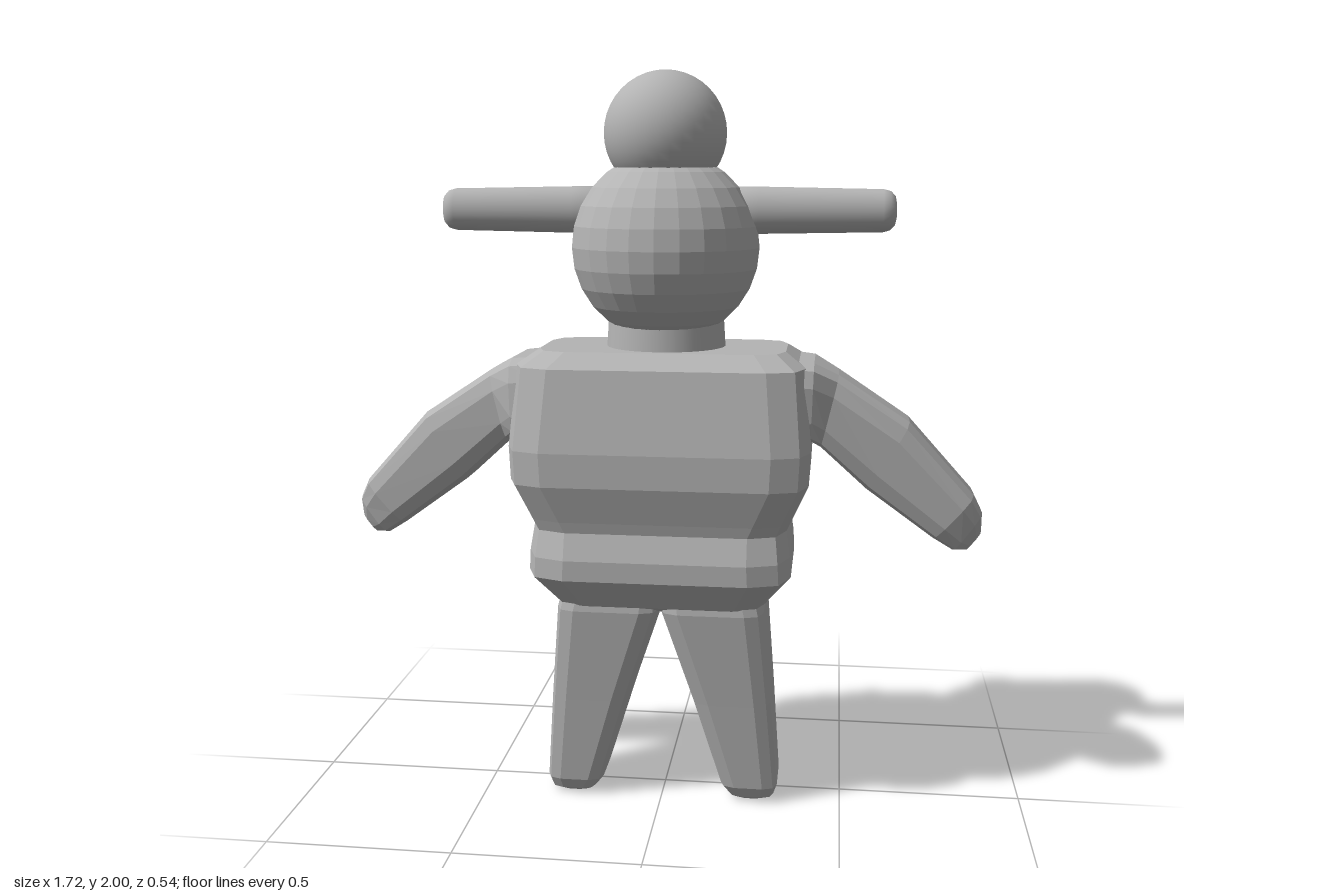
import * as THREE from 'three';
import { RoundedBoxGeometry } from 'three/addons/geometries/RoundedBoxGeometry.js';

// Rectangle with rounded corners, counter-clockwise, as [u, v] pairs
function section(cu, cv, hu, hv, c) {
  const corner = [[0, c], [0.27 * c, 0.27 * c], [c, 0]];
  const pts = [];
  for (const [su, sv] of [[1, 1], [-1, 1], [-1, -1], [1, -1]]) {
    const list = su * sv > 0 ? corner : [...corner].reverse();
    for (const [du, dv] of list) pts.push([cu + su * (hu - du), cv + sv * (hv - dv)]);
  }
  return pts;
}

// Faceted skin through rings of points, closed at both ends; side -1 mirrors it in x
function loft(rings, side = 1) {
  if (side < 0) {
    rings = rings.map(r => r.map(p => new THREE.Vector3(-p.x, p.y, p.z)).reverse());
  }
  const pos = [];
  const tri = (...ps) => ps.forEach(p => pos.push(p.x, p.y, p.z));
  const n = rings[0].length;
  const centre = r => r.reduce((s, p) => s.add(p), new THREE.Vector3()).divideScalar(n);
  const first = rings[0], last = rings[rings.length - 1];
  const c0 = centre(first), c1 = centre(last);
  for (let j = 0; j < n; j++) {
    const k = (j + 1) % n;
    for (let i = 0; i < rings.length - 1; i++) {
      const a = rings[i], b = rings[i + 1];
      tri(a[j], a[k], b[k]);
      tri(a[j], b[k], b[j]);
    }
    tri(c0, first[k], first[j]);
    tri(c1, last[j], last[k]);
  }
  const g = new THREE.BufferGeometry();
  g.setAttribute('position', new THREE.Float32BufferAttribute(pos, 3));
  g.computeVertexNormals();
  return g;
}

// Horizontal ring at height y from x and z limits
const level = ([y, x0, x1, z0, z1, c]) =>
  section((z0 + z1) / 2, (x0 + x1) / 2, (z1 - z0) / 2, (x1 - x0) / 2, c)
    .map(([z, x]) => new THREE.Vector3(x, y, z));

// Ring across the arm from its upper and lower edge points and half depth
const armRing = ([tx, ty, bx, by, hd, c]) => {
  const dx = tx - bx, dy = ty - by, h = Math.hypot(dx, dy) / 2;
  return section(0, 0, h, hd, c).map(([t, z]) => new THREE.Vector3(
    (tx + bx) / 2 + t * dx / (2 * h), (ty + by) / 2 + t * dy / (2 * h), z));
};

function flat(geometry) {
  const g = geometry.toNonIndexed();
  g.computeVertexNormals();
  return g;
}

export function createModel() {
  const model = new THREE.Group();
  model.name = 'figure';
  const grey = new THREE.MeshStandardMaterial({ color: 0xb4b4b4 });
  grey.name = 'plain grey';
  const add = (name, geometry, x = 0, y = 0, z = 0) => {
    const m = new THREE.Mesh(geometry, grey);
    m.name = name;
    m.position.set(x, y, z);
    model.add(m);
    return m;
  };

  // Torso: y, half width, back z, front z, corner
  add('torso', loft([
    [0.555, 0.2, -0.11, 0.12, 0.06],
    [0.583, 0.285, -0.165, 0.18, 0.08],
    [0.675, 0.355, -0.26, 0.26, 0.11],
    [0.73, 0.352, -0.258, 0.26, 0.11],
    [0.8, 0.342, -0.248, 0.235, 0.1],
    [0.83, 0.355, -0.25, 0.242, 0.1],
    [0.93, 0.398, -0.27, 0.27, 0.1],
    [1.02, 0.402, -0.27, 0.27, 0.1],
    [1.235, 0.385, -0.23, 0.23, 0.1],
    [1.273, 0.33, -0.165, 0.165, 0.08],
  ].map(([y, w, z0, z1, c]) => level([y, -w, w, z0, z1, c]))));

  // Neck, head and top ball
  add('neck', new THREE.CylinderGeometry(0.155, 0.165, 0.16, 32), 0, 1.3, -0.02);
  add('head', flat(new THREE.SphereGeometry(0.252, 24, 14)), 0, 1.54, 0);
  add('topBall', new THREE.SphereGeometry(0.163, 32, 20), 0, 1.837, 0.003);

  // Side rod profile: radius, distance from the middle
  const rod = new THREE.LatheGeometry([
    [0, 0.12], [0.062, 0.12], [0.062, 0.25], [0.056, 0.575],
    [0.051, 0.594], [0.038, 0.606], [0.02, 0.61], [0, 0.61],
  ].map(p => new THREE.Vector2(...p)), 24);
  rod.scale(1, 1, 0.82);

  // Arm: upper edge x, y, lower edge x, y, half depth, corner
  const arm = [
    [0.3, 1.255, 0.33, 0.99, 0.18, 0.06],
    [0.405, 1.245, 0.4, 1.035, 0.155, 0.06],
    [0.47, 1.21, 0.425, 1.015, 0.115, 0.055],
    [0.66, 1.085, 0.55, 0.9, 0.102, 0.055],
    [0.835, 0.89, 0.73, 0.77, 0.09, 0.045],
    [0.86, 0.84, 0.785, 0.735, 0.07, 0.035],
    [0.861, 0.785, 0.82, 0.732, 0.042, 0.02],
  ];

  // Leg: y, inner x, outer x, back z, front z, corner
  const leg = [
    [0.005, 0.205, 0.295, -0.045, 0.09, 0.03],
    [0.018, 0.19, 0.315, -0.065, 0.11, 0.035],
    [0.05, 0.167, 0.325, -0.08, 0.125, 0.04],
    [0.3, 0.09, 0.306, -0.115, 0.15, 0.045],
    [0.565, 0.002, 0.283, -0.155, 0.178, 0.05],
    [0.62, 0.0, 0.27, -0.155, 0.17, 0.05],
  ];

  for (const s of [1, -1]) {
    const side = s > 0 ? 'left' : 'right';
    add(side + 'Rod', rod, 0, 1.637, -0.012).rotation.z = -s * Math.PI / 2;
    add(side + 'Arm', loft(arm.map(armRing), s));
    add(side + 'Leg', loft(leg.map(level), s));
    // Small rounded knobs on the back of the head
    add(side + 'Knob', new RoundedBoxGeometry(0.095, 0.1, 0.07, 3, 0.025),
      s * 0.087, 1.555, -0.226).rotation.y = -s * 0.36;
  }
  return model;
}
